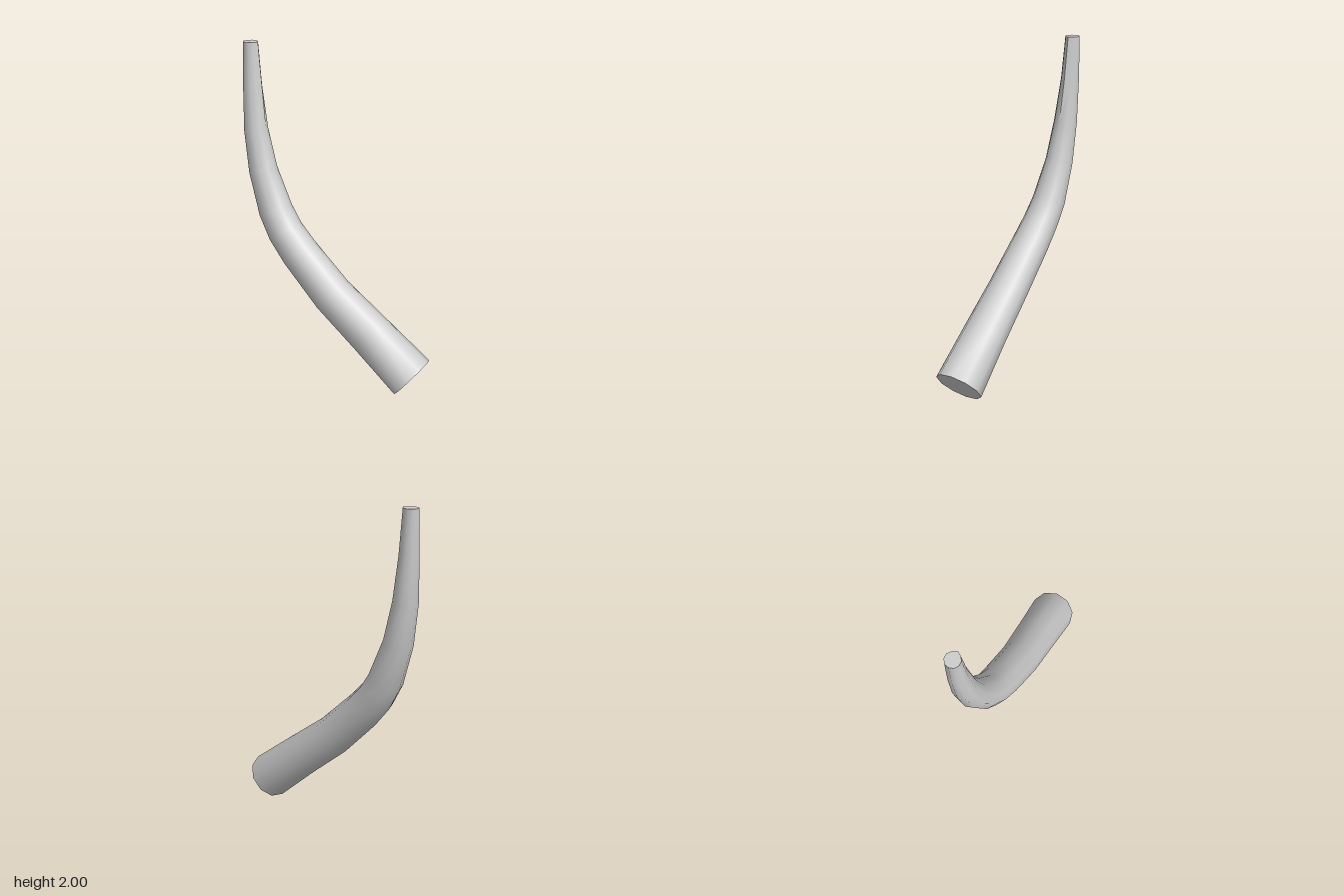
import * as THREE from 'three';
import { toCreasedNormals } from 'three/addons/utils/BufferGeometryUtils.js';

const SIDES = 10;

// Cross-sections from the thick base to the thin tip: x, y, z, radius
const SECTIONS = [
  [0.125, 0.115, 0.515, 0.145],
  [0.03, 0.34, 0.255, 0.132],
  [-0.055, 0.54, 0.015, 0.123],
  [-0.12, 0.765, -0.21, 0.115],
  [-0.145, 0.88, -0.31, 0.109],
  [-0.157, 1.0, -0.385, 0.103],
  [-0.172, 1.24, -0.478, 0.086],
  [-0.177, 1.48, -0.528, 0.072],
  [-0.173, 1.74, -0.555, 0.056],
  [-0.17, 2.0, -0.567, 0.044],
];

// Ring of points perpendicular to the centre line at section i
function ring(i) {
  const last = SECTIONS.length - 1;
  const centre = new THREE.Vector3(...SECTIONS[i]);
  const before = new THREE.Vector3(...SECTIONS[Math.max(i - 1, 0)]);
  const after = new THREE.Vector3(...SECTIONS[Math.min(i + 1, last)]);
  const along = i === last ? new THREE.Vector3(0, 1, 0) : after.sub(before).normalize();
  const side = new THREE.Vector3(1, 0, 0).addScaledVector(along, -along.x).normalize();
  const front = side.clone().cross(along);
  const points = [];
  for (let j = 0; j < SIDES; j++) {
    const a = (j / SIDES) * Math.PI * 2;
    // A slight ridge runs down the front of the tip
    const ridge = j === 2 && i >= last - 1 ? 1.18 : 1;
    const r = SECTIONS[i][3] * ridge;
    points.push(centre.clone()
      .addScaledVector(side, Math.cos(a) * r)
      .addScaledVector(front, Math.sin(a) * r));
  }
  return { centre, points };
}

function hornGeometry() {
  const rings = SECTIONS.map((_, i) => ring(i));
  const positions = [];
  const tri = (...corners) => corners.forEach((p) => positions.push(p.x, p.y, p.z));
  const base = rings[0];
  const tip = rings[rings.length - 1];

  for (let j = 0; j < SIDES; j++) {
    const k = (j + 1) % SIDES;
    // Curved wall
    for (let i = 0; i < rings.length - 1; i++) {
      const low = rings[i].points;
      const high = rings[i + 1].points;
      tri(low[j], high[j], low[k]);
      tri(high[j], high[k], low[k]);
    }
    // Flat end caps
    tri(base.centre, base.points[j], base.points[k]);
    tri(tip.centre, tip.points[k], tip.points[j]);
  }

  const geometry = new THREE.BufferGeometry();
  geometry.setAttribute('position', new THREE.Float32BufferAttribute(positions, 3));
  return toCreasedNormals(geometry, 0.8);
}

export function createModel() {
  const group = new THREE.Group();
  group.name = 'curvedHorn';
  const horn = new THREE.Mesh(
    hornGeometry(),
    new THREE.MeshStandardMaterial({ color: 0xcccccc }),
  );
  horn.name = 'horn';
  group.add(horn);
  return group;
}
